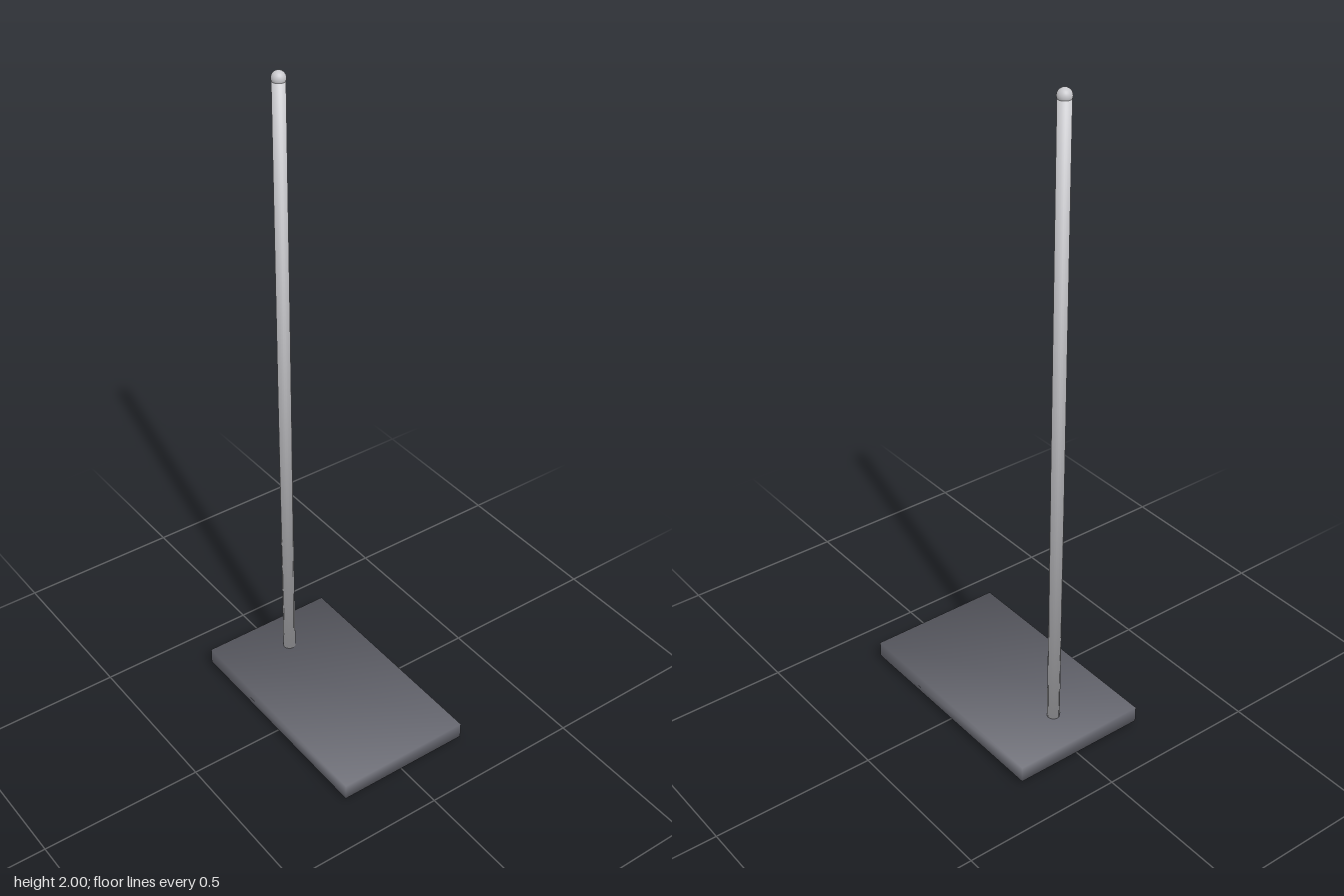
import * as THREE from 'three';

const mat = (name, color) => {
  const m = new THREE.MeshStandardMaterial({ color });
  m.name = name;
  return m;
};

// Blend the distinct face normals meeting at each corner, so edges shade softly
function softenNormals(geo) {
  const pos = geo.attributes.position, nor = geo.attributes.normal;
  const corners = new Map();
  const keys = [];
  for (let i = 0; i < pos.count; i++) {
    const p = new THREE.Vector3().fromBufferAttribute(pos, i);
    const n = new THREE.Vector3().fromBufferAttribute(nor, i);
    const key = p.toArray().map((v) => Math.round(v * 1e4)).join();
    keys.push(key);
    if (!corners.has(key)) corners.set(key, []);
    const list = corners.get(key);
    if (!list.some((o) => o.dot(n) > 0.999)) list.push(n);
  }
  keys.forEach((key, i) => {
    const sum = new THREE.Vector3();
    corners.get(key).forEach((n) => sum.add(n));
    sum.normalize();
    nor.setXYZ(i, sum.x, sum.y, sum.z);
  });
  return geo;
}

export function createModel() {
  const group = new THREE.Group();
  group.name = 'rodStand';
  const baseGrey = mat('base grey', 0x6b6c75);
  const steel = mat('steel', 0xc8c8cc);
  const rubber = mat('dark rubber', 0x424247);

  const add = (name, geo, material, x, y, z) => {
    const mesh = new THREE.Mesh(geo, material);
    mesh.name = name;
    mesh.position.set(x, y, z);
    group.add(mesh);
  };

  // Heavy rectangular base plate
  add('base', softenNormals(new THREE.BoxGeometry(0.714, 0.05, 0.426)), baseGrey, 0, 0.043, 0);

  // Four square feet
  const footGeo = softenNormals(new THREE.BoxGeometry(0.07, 0.02, 0.07));
  for (const sx of [-1, 1]) {
    for (const sz of [-1, 1]) add('foot', footGeo, rubber, sx * 0.303, 0.01, sz * 0.163);
  }

  // Upright rod set off-centre, with a rounded tip
  const rodX = -0.233, rodBottom = 0.066, rodTop = 1.98;
  add('rod', softenNormals(new THREE.CylinderGeometry(0.019, 0.019, rodTop - rodBottom, 24)),
    steel, rodX, (rodTop + rodBottom) / 2, 0);
  add('rodTip', new THREE.SphereGeometry(0.0205, 24, 16), steel, rodX, 1.9795, 0);

  return group;
}
